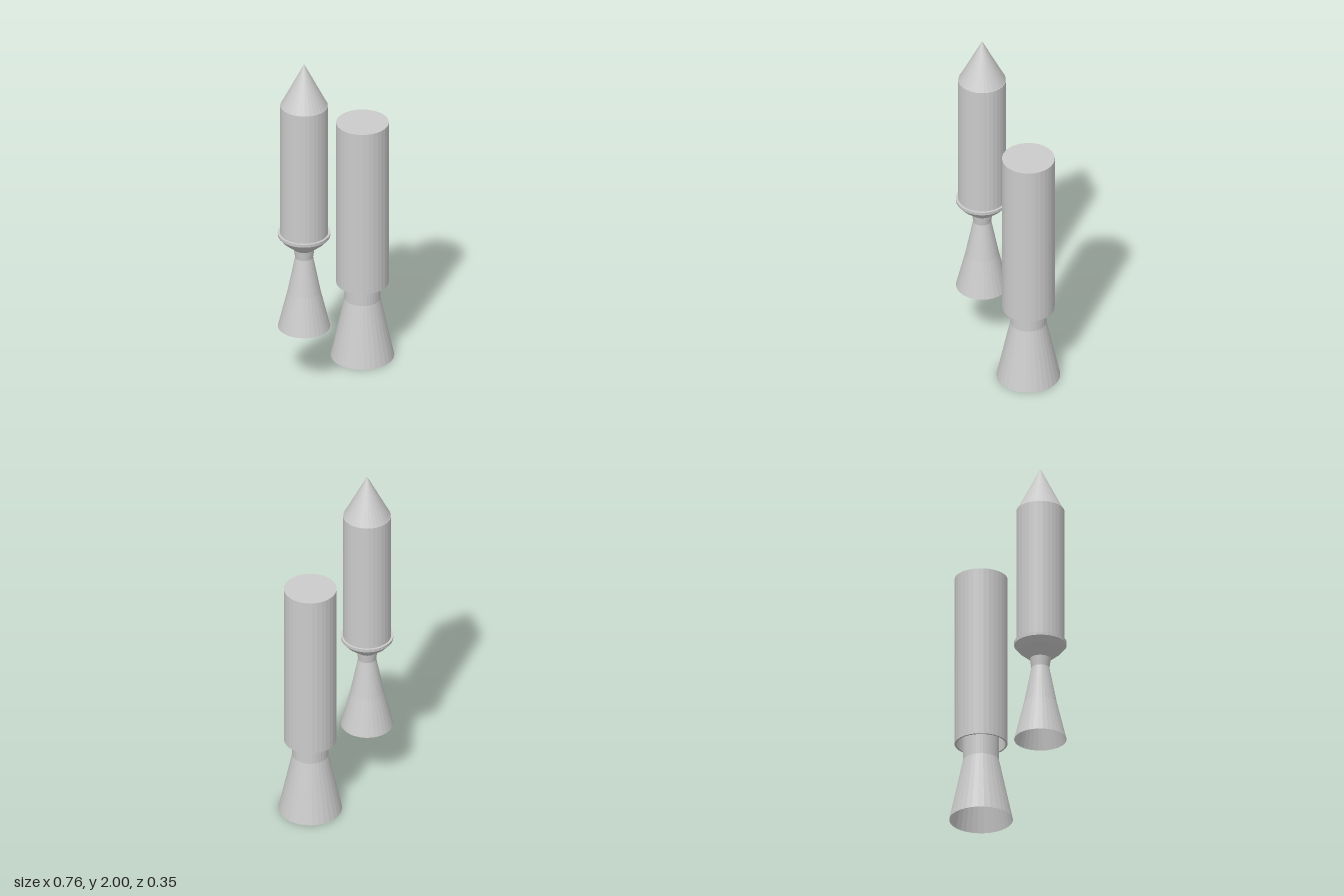
import * as THREE from 'three';

const SIDES = 32;
const material = new THREE.MeshStandardMaterial({
  color: 0xcccccc, flatShading: true, side: THREE.DoubleSide,
});

// Revolves [radius, y] points, listed from bottom to top, around the y axis
function turned(name, profile) {
  const points = profile.map(([r, y]) => new THREE.Vector2(r, y));
  const mesh = new THREE.Mesh(new THREE.LatheGeometry(points, SIDES), material);
  mesh.name = name;
  return mesh;
}

function stage(name, x, z, parts) {
  const group = new THREE.Group();
  group.name = name;
  group.position.set(x, 0, z);
  group.add(...parts);
  return group;
}

export function createModel() {
  const model = new THREE.Group();
  model.name = 'rocketStages';

  // Upper stage: pointed nose, tank and a narrow-throated engine
  model.add(stage('upperStage', -0.238, -0.025, [
    turned('noseCone', [[0.13, 1.742], [0, 2]]),
    turned('upperTank', [[0, 0.94], [0.133, 0.94], [0.133, 1.742], [0, 1.742]]),
    turned('engineCollar', [
      [0.05, 0.785], [0.058, 0.84], [0.088, 0.865], [0.118, 0.89],
      [0.145, 0.922], [0.146, 0.94], [0, 0.94],
    ]),
    turned('upperNozzle', [[0.145, 0.35], [0.092, 0.57], [0.05, 0.785]]),
  ]));

  // Lower stage: flat-topped tank with a hollow skirt around the engine neck
  model.add(stage('lowerStage', 0.205, 0, [
    turned('lowerTank', [
      [0, 0.62], [0.136, 0.62], [0.136, 0.46],
      [0.146, 0.46], [0.146, 1.465], [0, 1.465],
    ]),
    turned('engineNeck', [[0.1, 0.36], [0.1, 0.62]]),
    turned('lowerNozzle', [[0.176, 0], [0.1, 0.36]]),
  ]));

  return model;
}
